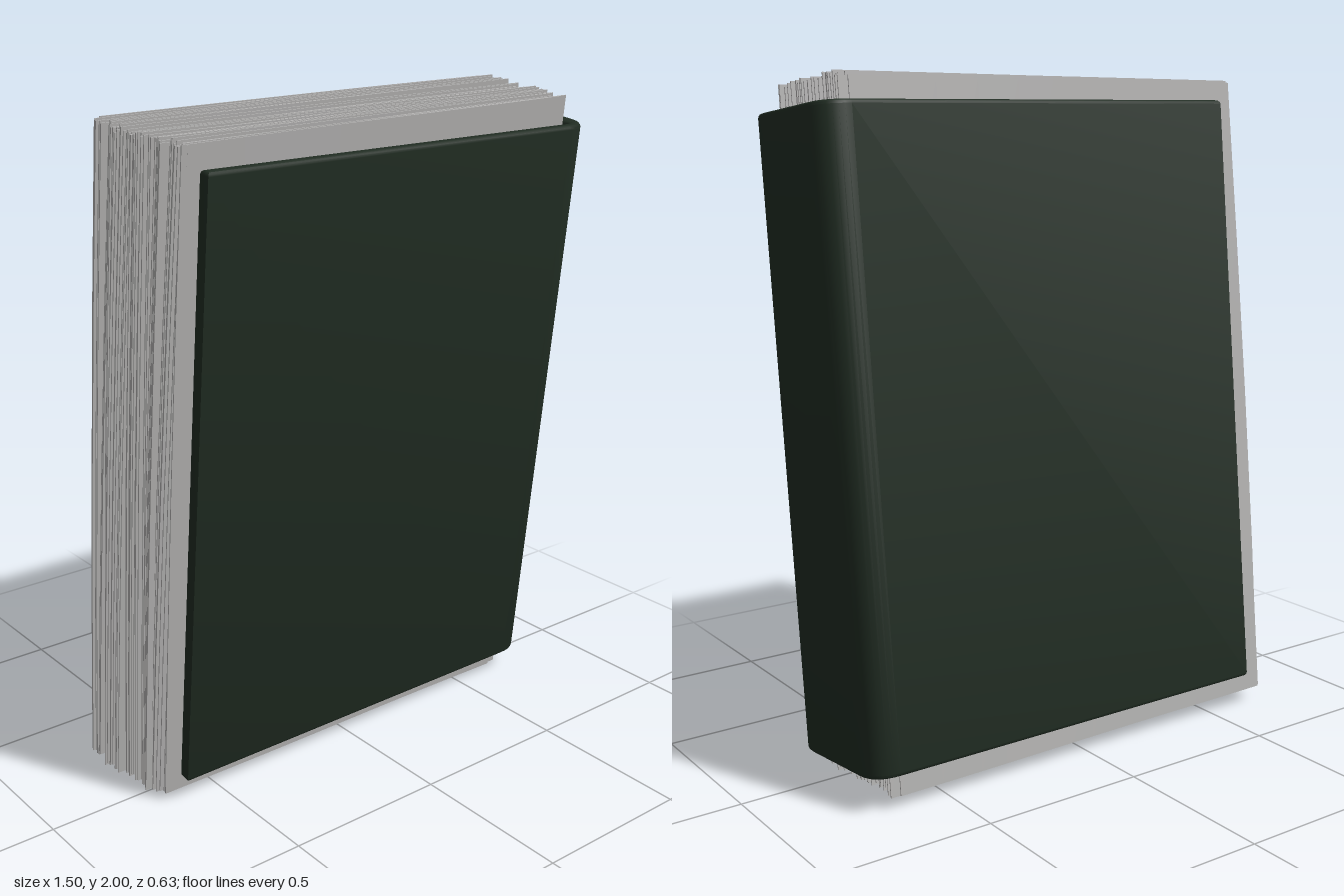
import * as THREE from 'three';
import { mergeGeometries, toCreasedNormals } from 'three/addons/utils/BufferGeometryUtils.js';

const TILT = 0.105;
const COVER = { left: -0.62, right: 0.755, half: 0.221, board: 0.036, spine: 0.055, height: 1.825 };

function seeded(seed) {
  let s = seed;
  return () => {
    s = (s * 16807) % 2147483647;
    return s / 2147483647;
  };
}

// U-shaped section with a rounded spine, extruded along the book's height
function coverGeometry() {
  const { left, right, half, board, spine, height } = COVER;
  const b = 0.012;
  const l = left + b, r = right - b, h = half - b;
  const ih = half - board + b, ir = right - spine + b;
  const R = 0.075, q = 0.03;
  const s = new THREE.Shape();
  s.moveTo(l, -h);
  s.lineTo(r - R, -h);
  s.quadraticCurveTo(r, -h, r, -h + R);
  s.lineTo(r, h - R);
  s.quadraticCurveTo(r, h, r - R, h);
  s.lineTo(l, h);
  s.lineTo(l, ih);
  s.lineTo(ir - q, ih);
  s.quadraticCurveTo(ir, ih, ir, ih - q);
  s.lineTo(ir, -ih + q);
  s.quadraticCurveTo(ir, -ih, ir - q, -ih);
  s.lineTo(l, -ih);
  s.closePath();
  const g = new THREE.ExtrudeGeometry(s, {
    depth: height - 2 * b, bevelEnabled: true, bevelSize: b, bevelThickness: b,
    bevelSegments: 3, curveSegments: 8,
  });
  g.translate(0, 0, -height / 2 + b);
  g.rotateX(-Math.PI / 2);
  return toCreasedNormals(g, 0.7);
}

// One thin, slightly warped sheet
function sheetGeometry(p) {
  const g = new THREE.BoxGeometry(1, 1, 0.0035, 10, 4, 1);
  const pos = g.attributes.position;
  for (let i = 0; i < pos.count; i++) {
    const u = pos.getX(i) + 0.5, v = pos.getY(i) * 2;
    const left = p.left + p.skew * v + 0.006 * v * v;
    const x = THREE.MathUtils.lerp(left, p.right, u);
    const halfHeight = THREE.MathUtils.lerp(0.967, 0.981, u);
    const y = v * halfHeight + p.lift + p.turn * (u - 0.5);
    const wave = p.wave * Math.sin(u * 7 + p.phase + v) + p.curl * v * Math.pow(1 - u, 6);
    const z = THREE.MathUtils.clamp(p.z + wave, -0.179, 0.179);
    pos.setXYZ(i, x, y, z + pos.getZ(i));
  }
  const flat = toCreasedNormals(g, 0.6);
  return flat;
}

// Page block: loose bunches of sheets, fanned out at the fore edge
function pagesGeometry() {
  const rnd = seeded(4211);
  const spread = (a) => (rnd() * 2 - 1) * a;
  const sheets = [];
  const count = 66;
  let bunch = null;
  for (let i = 0; i < count; i++) {
    if (i % 5 === 0) {
      bunch = { lift: spread(0.006), left: spread(0.012), curl: spread(0.012), skew: spread(0.006) };
    }
    const t = i / (count - 1);                       // 0 back, 1 front
    const fan = t < 0.3 ? -0.718 - 0.02 * (t / 0.3) : -0.738 + 0.06 * ((t - 0.3) / 0.7);
    sheets.push(sheetGeometry({
      z: -0.176 + 0.352 * t,
      left: Math.max(fan + bunch.left + spread(0.006), -0.75),
      right: 0.664 + spread(0.016),
      lift: bunch.lift + spread(0.008),
      turn: spread(0.006),
      skew: bunch.skew,
      curl: bunch.curl,
      wave: 0.0018,
      phase: spread(0.8),
    }));
  }
  return mergeGeometries(sheets);
}

export function createModel() {
  const green = new THREE.MeshStandardMaterial({ color: 0x202c22 });
  green.name = 'darkGreenCover';
  const grey = new THREE.MeshStandardMaterial({ color: 0xb4b3b2 });
  grey.name = 'greyPaper';

  const cover = new THREE.Mesh(coverGeometry(), green);
  cover.name = 'cover';
  const pages = new THREE.Mesh(pagesGeometry(), grey);
  pages.name = 'pages';
  pages.position.y = 0.008;

  // The whole book leans forward
  const book = new THREE.Group();
  book.name = 'book';
  book.add(cover, pages);
  book.rotation.x = TILT;
  book.position.y = 0.985;

  const model = new THREE.Group();
  model.name = 'leaningBook';
  model.add(book);
  return model;
}
